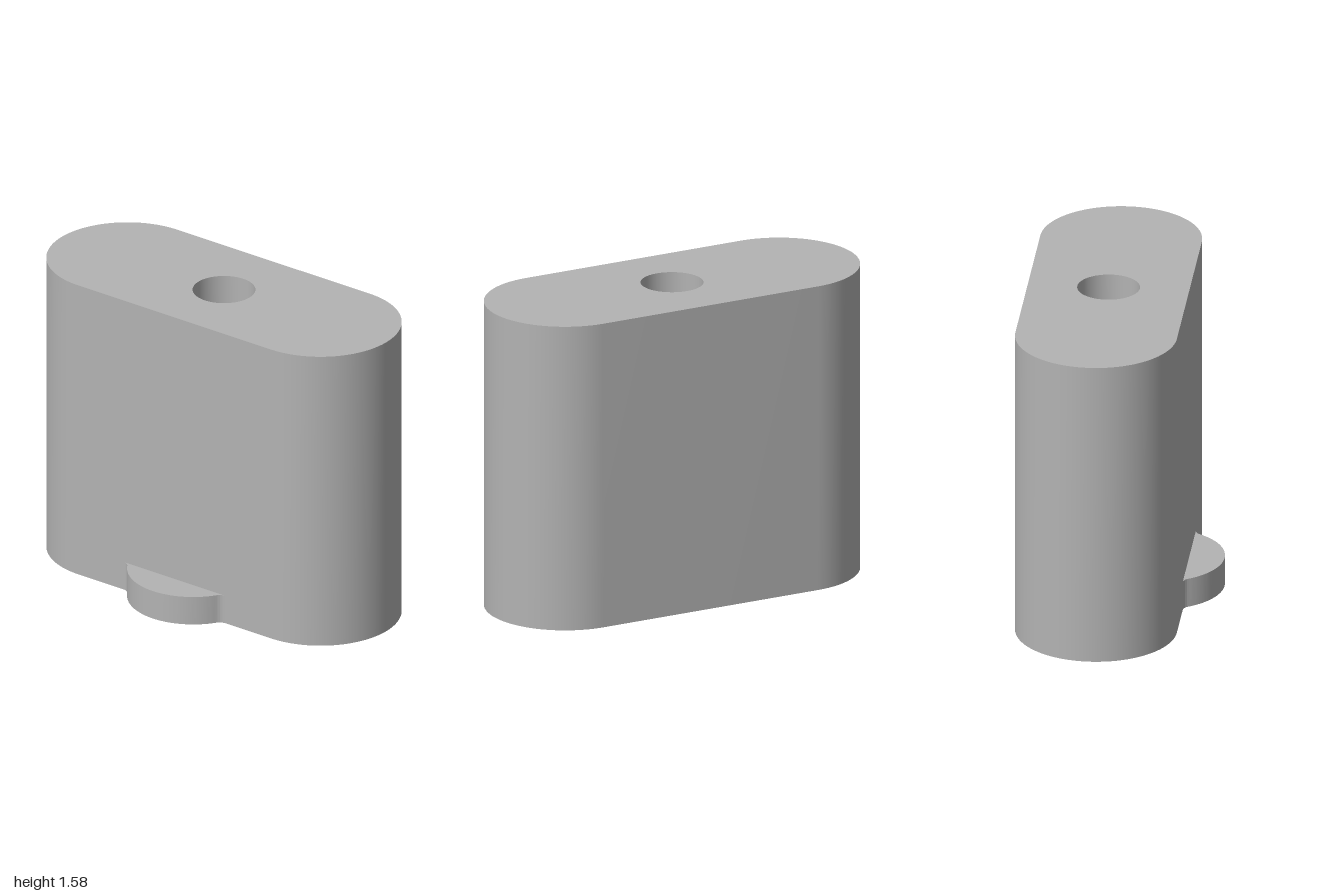
import * as THREE from 'three';
import { toCreasedNormals } from 'three/addons/utils/BufferGeometryUtils.js';

const HEIGHT = 1.58, TAB_HEIGHT = 0.15;
const END_R = 0.4, END_X = 0.6, CENTRE = 0.0875; // plan is drawn with its y axis pointing to the back
const FRONT = CENTRE - END_R;
const BORE_R = 0.155, RECESS_R = 0.28, RECESS_DEPTH = 0.8;

// Rounded tab edge, left to right, blended into the front by two small fillets
function traceTab(path) {
  const r = 0.327, fillet = 0.05, cy = -CENTRE - END_R + r;
  const dy = cy - (FRONT - fillet);
  const dx = Math.sqrt((r + fillet) ** 2 - dy ** 2);
  const a = Math.atan2(dy, dx);
  path.absarc(-dx, FRONT - fillet, fillet, Math.PI / 2, a, true);
  path.absarc(0, cy, r, Math.PI + a, 2 * Math.PI - a, false);
  path.absarc(dx, FRONT - fillet, fillet, Math.PI - a, Math.PI / 2, true);
  return path;
}

// Outline with two half-round ends, optionally including the tab
function bodyOutline(withTab, holeRadius) {
  const s = new THREE.Shape();
  s.moveTo(-END_X, FRONT);
  if (withTab) traceTab(s);
  s.lineTo(END_X, FRONT);
  s.absarc(END_X, CENTRE, END_R, -Math.PI / 2, Math.PI / 2, false);
  s.absarc(-END_X, CENTRE, END_R, Math.PI / 2, Math.PI * 1.5, false);
  s.holes.push(new THREE.Path().absarc(0, CENTRE, holeRadius, 0, Math.PI * 2, true));
  return s;
}

// Upright wall following an outline
function wall(path, height, closed) {
  const pts = path.getPoints(32).filter((p, i, all) => i === 0 || p.distanceTo(all[i - 1]) > 1e-5);
  if (closed && pts[0].distanceTo(pts[pts.length - 1]) > 1e-5) pts.push(pts[0]);
  const v = [];
  for (let i = 0; i < pts.length - 1; i++) {
    const p = pts[i], q = pts[i + 1];
    v.push(p.x, 0, -p.y, q.x, 0, -q.y, q.x, height, -q.y);
    v.push(p.x, 0, -p.y, q.x, height, -q.y, p.x, height, -p.y);
  }
  const g = new THREE.BufferGeometry();
  g.setAttribute('position', new THREE.Float32BufferAttribute(v, 3));
  return toCreasedNormals(g, 0.5);
}

// Flat horizontal face, turned up or down
function plate(shape, y, down) {
  const g = new THREE.ShapeGeometry(shape, 32).rotateX(-Math.PI / 2);
  if (down) {
    g.index.array.reverse();
    g.computeVertexNormals();
  }
  return g.translate(0, y, 0);
}

export function createModel() {
  const grey = new THREE.MeshStandardMaterial({ color: 0xb3b3b3 });
  grey.name = 'grey';
  const group = new THREE.Group();
  group.name = 'spacerBlock';
  const add = (name, geometry) => {
    const mesh = new THREE.Mesh(geometry, grey);
    mesh.name = name;
    group.add(mesh);
  };

  // Main block
  add('bodyWall', wall(bodyOutline(false, BORE_R), HEIGHT, true));
  add('bodyTop', plate(bodyOutline(false, BORE_R), HEIGHT, false));
  add('bottom', plate(bodyOutline(true, RECESS_R), 0, true));

  // Tab at the foot of the front
  add('tabWall', wall(traceTab(new THREE.Path()), TAB_HEIGHT, false));
  add('tabTop', plate(traceTab(new THREE.Shape()), TAB_HEIGHT, false));

  // Narrow bore from the top opening into a wide recess below
  const profile = [[BORE_R, HEIGHT], [BORE_R, RECESS_DEPTH], [RECESS_R, RECESS_DEPTH], [RECESS_R, 0]]
    .map(([x, y]) => new THREE.Vector2(x, y));
  const bore = toCreasedNormals(new THREE.LatheGeometry(profile, 64), 0.5);
  add('steppedBore', bore.translate(0, 0, -CENTRE));
  return group;
}
